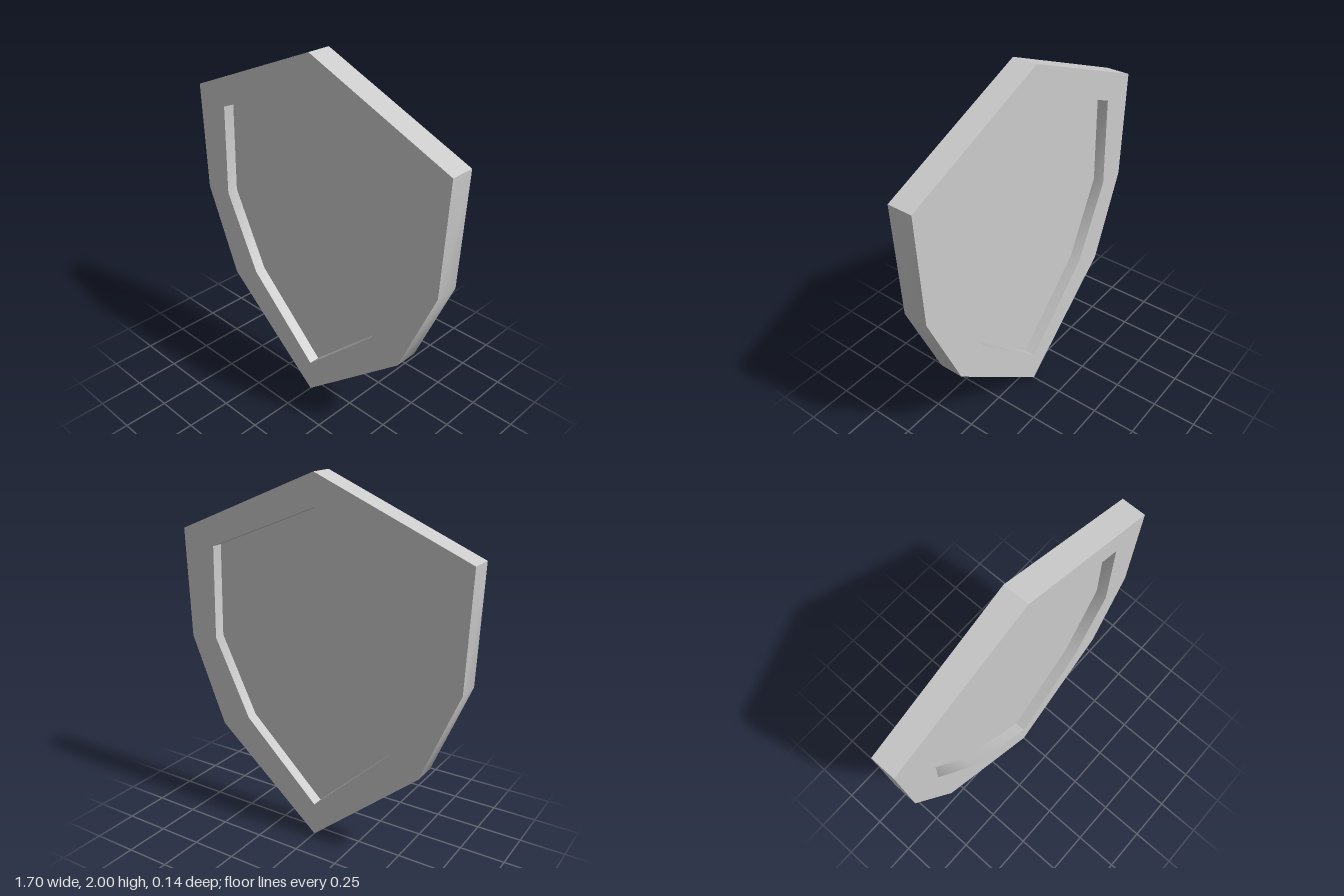
import * as THREE from 'three';
import { toCreasedNormals } from 'three/addons/utils/BufferGeometryUtils.js';

const THICKNESS = 0.135;
const PANEL = 0.008;

// Right-hand half outlines, from the bottom point to the top point
const OUTER = [[0, 0], [0.625, 0.53], [0.83, 1.03], [0.85, 1.647], [0, 2]];
const INNER = [[0, 0.187], [0.445, 0.607], [0.66, 1.047], [0.648, 1.568], [0, 1.83]];

// Mirror a half outline into a closed loop
function outline(half) {
  const mirrored = half.slice(1, -1).reverse().map(([x, y]) => [-x, y]);
  return [...half, ...mirrored].map(([x, y]) => new THREE.Vector2(x, y));
}

// Extrude a shape centred on z = 0, smooth along the gentle side bends
function slab(shape, depth) {
  const geometry = new THREE.ExtrudeGeometry(shape, { depth, bevelEnabled: false });
  geometry.translate(0, 0, -depth / 2);
  return toCreasedNormals(geometry, 0.55);
}

export function createModel() {
  const group = new THREE.Group();
  group.name = 'shield';
  const material = new THREE.MeshStandardMaterial({ color: 0xcccccc });

  // Thick border around the recess
  const rimShape = new THREE.Shape(outline(OUTER));
  rimShape.holes.push(new THREE.Path(outline(INNER)));
  const rim = new THREE.Mesh(slab(rimShape, THICKNESS), material);
  rim.name = 'rim';

  // Thin plate, recessed on front and back
  const panel = new THREE.Mesh(slab(new THREE.Shape(outline(INNER)), PANEL), material);
  panel.name = 'panel';

  group.add(rim, panel);
  return group;
}
